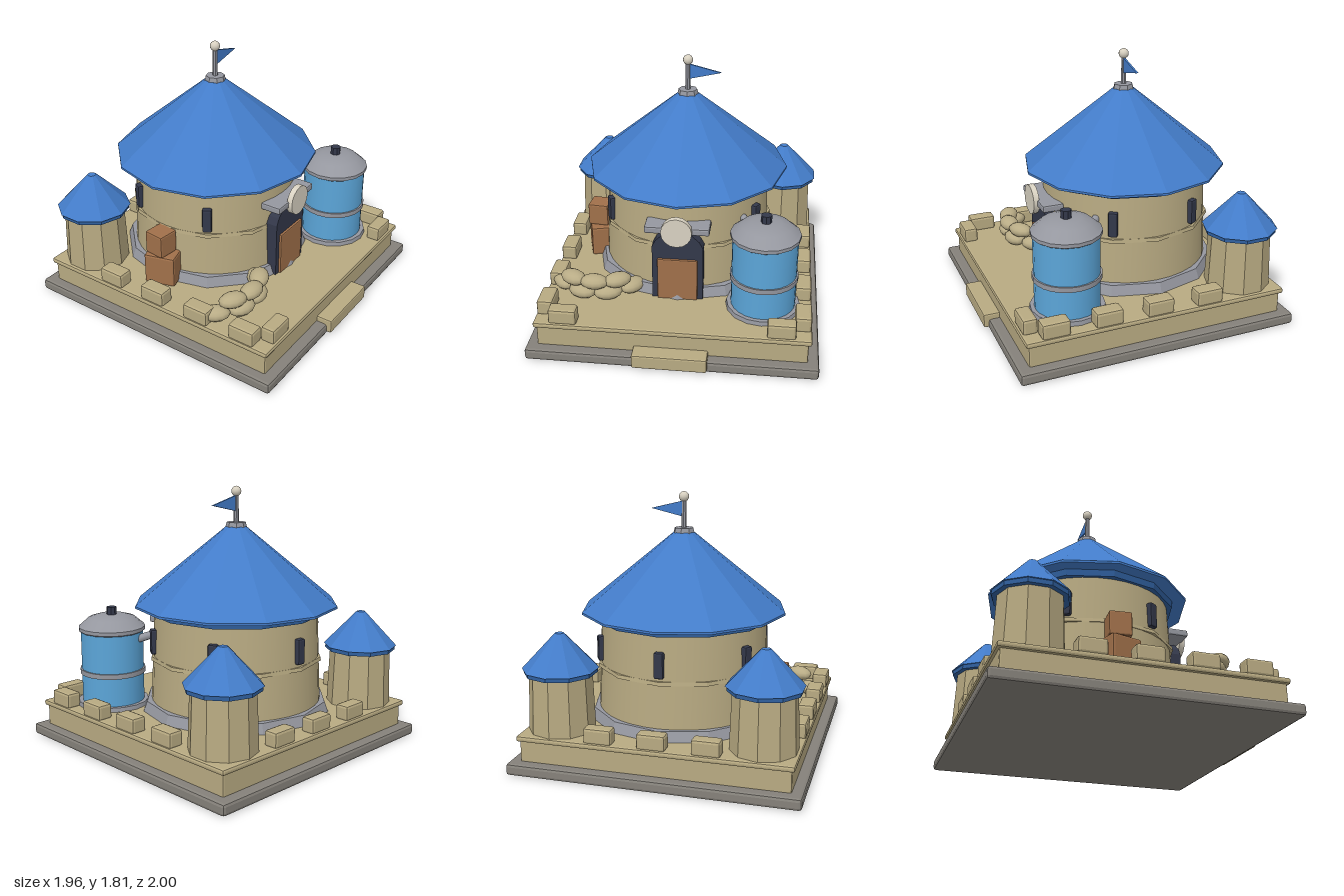
import * as THREE from 'three';
import { RoundedBoxGeometry } from 'three/addons/geometries/RoundedBoxGeometry.js';
import { toCreasedNormals } from 'three/addons/utils/BufferGeometryUtils.js';

const material = (name, color, side = THREE.FrontSide) => {
  const m = new THREE.MeshStandardMaterial({ color, side });
  m.name = name;
  return m;
};

export function createModel() {
  const model = new THREE.Group();
  model.name = 'fort';
  const stone = material('sandstone', 0xb8aa82);
  const footing = material('footing grey', 0x85817a);
  const metal = material('metal grey', 0x95979f);
  const roofBlue = material('roof blue', 0x437cc9);
  const trimBlue = material('trim blue', 0x30609f);
  const tankBlue = material('tank blue', 0x5ba5d8);
  const dark = material('dark slate', 0x33384a);
  const wood = material('wood', 0xa0704a);
  const cream = material('cream', 0xd9d2c2);
  const sack = material('sack', 0xb9ac86);

  const add = (name, geometry, mat, x, y, z, parent = model) => {
    const mesh = new THREE.Mesh(geometry, mat);
    mesh.name = name;
    mesh.position.set(x, y, z);
    parent.add(mesh);
    return mesh;
  };
  // Box with chamfered edges, placed by the height of its underside
  const block = (name, mat, w, h, d, x, y, z, bevel = 0.012, parent = model) => {
    const g = new RoundedBoxGeometry(w, h, d, 1, bevel);
    g.computeVertexNormals();
    return add(name, g, mat, x, y + h / 2, z, parent);
  };
  // Frustum between two heights; low side counts come out faceted
  const drum = (name, mat, rTop, rBottom, y0, y1, x, z, sides, parent = model) => {
    const crease = sides > 12 ? 0.5 : 0.05;
    const g = toCreasedNormals(new THREE.CylinderGeometry(rTop, rBottom, y1 - y0, sides), crease);
    return add(name, g, mat, x, (y0 + y1) / 2, z, parent);
  };

  // Stepped platform
  const midZ = -0.017;
  block('footing', footing, 1.96, 0.08, 1.965, 0, 0, midZ, 0.02);
  block('platform', stone, 1.81, 0.17, 1.81, 0, 0.07, midZ);
  block('platformCoping', stone, 1.85, 0.04, 1.85, 0, 0.22, midZ, 0.015);
  block('frontStep', stone, 0.5, 0.1, 0.12, 0, 0.02, 0.94);

  // Low blocks around the edge
  const merlon = (x, z, alongX) =>
    block('merlon', stone, alongX ? 0.19 : 0.11, 0.11, alongX ? 0.1 : 0.19, x, 0.25, z, 0.018);
  for (const s of [-1, 1]) {
    for (const z of [-0.375, -0.015, 0.345, 0.705]) merlon(s * 0.865, z, false);
    merlon(s * 0.725, 0.845, true);
  }
  for (const x of [-0.36, 0, 0.36]) merlon(x, -0.88, true);

  // Round keep with its roof
  const keepZ = -0.137;
  drum('keepPlinth', metal, 0.64, 0.67, 0.25, 0.33, 0, keepZ, 12);
  drum('keepWall', stone, 0.57, 0.6, 0.26, 0.96, 0, keepZ, 36);
  drum('keepBand', stone, 0.603, 0.607, 0.625, 0.65, 0, keepZ, 12);
  drum('keepFascia', trimBlue, 0.615, 0.61, 0.95, 1.0, 0, keepZ, 12);
  drum('keepEave', roofBlue, 0.71, 0.71, 0.995, 1.01, 0, keepZ, 12);
  drum('keepRoof', roofBlue, 0.07, 0.71, 1.01, 1.535, 0, keepZ, 12);
  drum('roofCollar', metal, 0.065, 0.075, 1.525, 1.565, 0, keepZ, 8);
  drum('flagPole', metal, 0.016, 0.018, 1.56, 1.76, 0, keepZ, 8);
  add('poleBall', new THREE.SphereGeometry(0.035, 12, 8), cream, 0, 1.775, keepZ);
  const pennant = new THREE.Shape([[0.01, 1.64], [0.23, 1.69], [0.01, 1.745]].map(p => new THREE.Vector2(...p)));
  add('flag', new THREE.ExtrudeGeometry(pennant, { depth: 0.014, bevelEnabled: false }), roofBlue, 0, 0, keepZ - 0.007);

  // Slit windows every sixty degrees, except at the door
  for (let i = 1; i < 6; i++) {
    const a = (i * Math.PI) / 3;
    const r = 0.585;
    const slit = block('slitWindow', dark, 0.065, 0.175, 0.05, r * Math.sin(a), 0.67, keepZ + r * Math.cos(a));
    slit.rotation.y = a;
  }

  // Doorway
  const arch = new THREE.Shape([[-0.175, 0.26], [0.175, 0.26], [0.175, 0.66], [0.15, 0.71], [0.09, 0.765],
    [-0.09, 0.765], [-0.15, 0.71], [-0.175, 0.66]].map(p => new THREE.Vector2(...p)));
  add('doorFrame', new THREE.ExtrudeGeometry(arch, { depth: 0.16, bevelEnabled: false }), dark, 0, 0, 0.34);
  block('door', wood, 0.275, 0.315, 0.06, 0, 0.257, 0.487, 0.008);
  block('doorLintel', metal, 0.44, 0.05, 0.15, 0, 0.785, 0.47, 0.012);
  const disc = add('doorDisc', toCreasedNormals(new THREE.CylinderGeometry(0.105, 0.105, 0.04, 16), 0.5), cream, 0, 0.81, 0.55);
  disc.rotation.x = Math.PI / 2;

  // Two corner turrets at the back
  for (const s of [-1, 1]) {
    const turret = new THREE.Group();
    turret.name = 'cornerTurret';
    turret.position.set(s * 0.69, 0, -0.705);
    model.add(turret);
    drum('turretWall', stone, 0.21, 0.225, 0.25, 0.66, 0, 0, 10, turret);
    drum('turretFascia', trimBlue, 0.245, 0.245, 0.65, 0.68, 0, 0, 10, turret);
    drum('turretRoof', roofBlue, 0.03, 0.256, 0.68, 0.92, 0, 0, 10, turret);
  }

  // Water tank
  const tank = new THREE.Group();
  tank.name = 'waterTank';
  tank.position.set(0.59, 0, 0.515);
  model.add(tank);
  drum('tankBase', metal, 0.25, 0.255, 0.255, 0.29, 0, 0, 16, tank);
  drum('tankBody', tankBlue, 0.22, 0.22, 0.28, 0.81, 0, 0, 24, tank);
  drum('tankHoop', metal, 0.231, 0.231, 0.49, 0.525, 0, 0, 24, tank);
  const lid = [[0.22, 0.79], [0.235, 0.8], [0.235, 0.825], [0.215, 0.84], [0.165, 0.885], [0.1, 0.905], [0, 0.908]];
  add('tankLid', toCreasedNormals(new THREE.LatheGeometry(lid.map(p => new THREE.Vector2(...p)), 16), 0.5), metal, 0, 0, 0, tank);
  drum('tankCap', dark, 0.036, 0.036, 0.9, 0.96, 0, 0, 8, tank);
  const pipe = new THREE.LineCurve3(new THREE.Vector3(0.53, 0.73, 0.36), new THREE.Vector3(0.41, 0.79, 0.23));
  add('tankPipe', new THREE.TubeGeometry(pipe, 1, 0.028, 10), metal, 0, 0, 0);

  // Stacked crates
  block('lowerCrate', wood, 0.22, 0.225, 0.22, -0.625, 0.26, -0.125, 0.015).rotation.y = 0.28;
  block('upperCrate', wood, 0.15, 0.165, 0.15, -0.655, 0.485, -0.13, 0.012).rotation.y = -0.1;

  // Curved wall of sandbags in two courses
  const bag = new THREE.SphereGeometry(1, 12, 8);
  const course = (angles, y) => {
    for (const deg of angles) {
      const a = THREE.MathUtils.degToRad(deg);
      const m = add('sandbag', bag, sack, -0.57 + 0.31 * Math.sin(a), y, 0.25 + 0.31 * Math.cos(a));
      m.scale.set(0.1, 0.05, 0.068);
      m.rotation.y = a;
    }
  };
  course([-52, -17, 17, 52], 0.305);
  course([-30, 0, 30], 0.39);

  return model;
}
